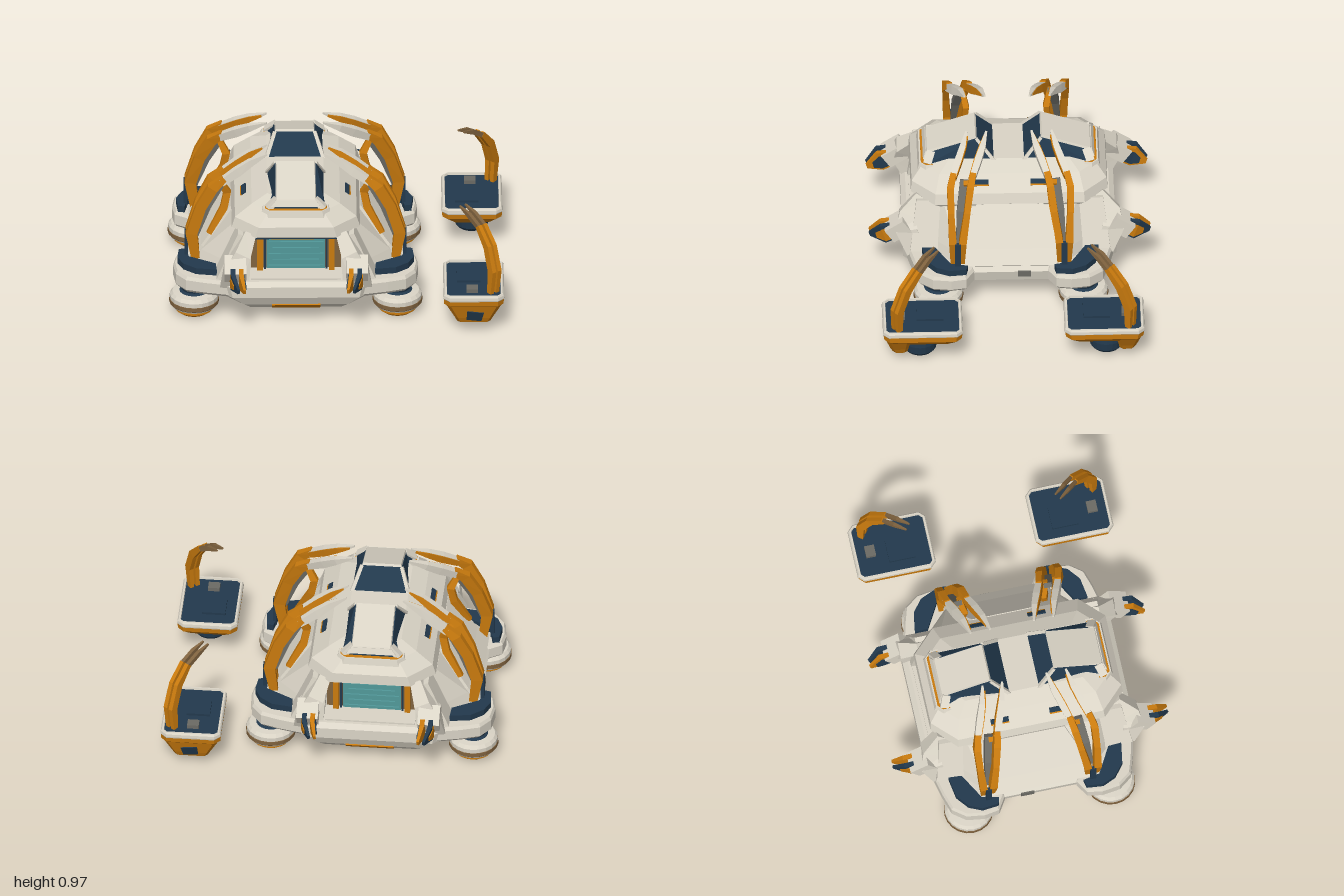
import * as THREE from 'three';

const paint = (name, color) => Object.assign(new THREE.MeshStandardMaterial({ color, flatShading: true }), { name });

// Skin a stack of equal-length loops, each counter-clockwise about the stacking direction
function loft(loops, capTop = true, capBottom = true) {
  const pos = [], tri = (...p) => p.forEach(q => pos.push(...q)), n = loops[0].length;
  for (let k = 0; k < loops.length - 1; k++)
    for (let i = 0; i < n; i++) {
      const j = (i + 1) % n, [l, u] = [loops[k], loops[k + 1]];
      tri(l[i], l[j], u[j]);
      tri(l[i], u[j], u[i]);
    }
  const top = loops[loops.length - 1], low = loops[0];
  for (let i = 1; i < n - 1; i++) {
    if (capTop) tri(top[0], top[i], top[i + 1]);
    if (capBottom) tri(low[0], low[i + 1], low[i]);
  }
  const g = new THREE.BufferGeometry();
  g.setAttribute('position', new THREE.Float32BufferAttribute(pos, 3));
  g.computeVertexNormals();
  return g;
}

// Chamfered rectangle lying flat
const oct = (y, hx, hz, c, cx = 0, cz = 0) => [
  [hx, hz - c], [hx, c - hz], [hx - c, -hz], [c - hx, -hz],
  [-hx, c - hz], [-hx, hz - c], [c - hx, hz], [hx - c, hz]].map(([x, z]) => [x + cx, y, z + cz]);

// Tapered bar through [x, y, z, width, depth] points
function bar(points, sideDir = [0, 0, 1]) {
  const P = points.map(p => new THREE.Vector3(p[0], p[1], p[2]));
  return loft(points.map((p, i) => {
    const d = P[Math.min(i + 1, P.length - 1)].clone().sub(P[Math.max(i - 1, 0)]).normalize();
    const s = new THREE.Vector3(...sideDir).addScaledVector(d, -d.dot(new THREE.Vector3(...sideDir))).normalize();
    const n = d.clone().cross(s);
    return [[1, 1], [-1, 1], [-1, -1], [1, -1]].map(([a, b]) =>
      P[i].clone().addScaledVector(s, a * p[3] / 2).addScaledVector(n, b * p[4] / 2).toArray());
  }));
}

const box = (w, h, d, x, y, z, rx = 0, rz = 0) =>
  new THREE.BoxGeometry(w, h, d).rotateX(rx).rotateZ(rz).translate(x, y, z);
const lathe = (pts, x, z) =>
  new THREE.LatheGeometry(pts.map(p => new THREE.Vector2(...p)), 20).translate(x, 0, z);

// Mirror a geometry across x and/or z, keeping its faces outward
function mirror(geo, sx, sz) {
  const g = geo.index ? geo.toNonIndexed() : geo.clone();
  g.scale(sx, 1, sz);
  if (sx * sz < 0) {
    const a = g.attributes.position, v = new THREE.Vector3(), w = new THREE.Vector3();
    for (let i = 0; i < a.count; i += 3) {
      v.fromBufferAttribute(a, i + 1);
      w.fromBufferAttribute(a, i + 2);
      a.setXYZ(i + 1, w.x, w.y, w.z);
      a.setXYZ(i + 2, v.x, v.y, v.z);
    }
  }
  g.computeVertexNormals();
  return g;
}

export function createModel() {
  const cream = paint('cream', 0xdad4c6), navy = paint('navy', 0x22394d), orange = paint('orange', 0xca7b0e);
  const teal = paint('teal', 0x52999a), brown = paint('brown', 0x80633f), grey = paint('grey', 0x6b6a64);
  const root = new THREE.Group();
  root.name = 'modularBase';
  const base = new THREE.Group();
  base.name = 'mainModule';
  base.position.x = -0.245;
  root.add(base);
  const add = (parent, name, geo, mat, sx = 1, sz = 1) => {
    const m = new THREE.Mesh(mirror(geo, sx, sz), mat);
    m.name = name;
    parent.add(m);
  };
  const ends = [1, -1];

  // Hull, sloped middle and roof
  add(base, 'hull', loft([oct(0.09, 0.39, 0.57, 0.12), oct(0.13, 0.44, 0.61, 0.13), oct(0.19, 0.63, 0.64, 0.25),
    oct(0.26, 0.645, 0.64, 0.25), oct(0.285, 0.62, 0.61, 0.25)]), cream);
  add(base, 'middleBody', loft([oct(0.27, 0.63, 0.44, 0.15), oct(0.35, 0.565, 0.44, 0.12), oct(0.56, 0.385, 0.44, 0.05)]), cream);
  add(base, 'shadowGap', loft([oct(0.535, 0.33, 0.51, 0.1), oct(0.56, 0.36, 0.53, 0.1)]), brown);
  add(base, 'roof', loft([oct(0.55, 0.37, 0.55, 0.14), oct(0.575, 0.385, 0.59, 0.14), oct(0.64, 0.365, 0.585, 0.14),
    oct(0.715, 0.265, 0.52, 0.1), oct(0.755, 0.17, 0.44, 0.08)]), cream);

  // Side panels, vents and slits
  const lean = 0.71;
  for (const s of ends) {
    add(base, 'sidePanel', bar([[0.625, 0.29, 0, 0.66, 0.03], [0.555, 0.365, 0, 0.62, 0.03], [0.38, 0.57, 0, 0.4, 0.03]]), cream, s);
    add(base, 'sideVent', box(0.008, 0.03, 0.2, 0.437, 0.52, 0, 0, lean), brown, s);
    add(base, 'sideHatch', box(0.008, 0.04, 0.08, 0.645, 0.245, -0.08), grey, s);
    for (const t of ends) {
      add(base, 'roofSlit', box(0.008, 0.03, 0.11, 0.311, 0.685, 0.18, 0, 0.93), navy, s, t);
      add(base, 'roofSlitTrim', box(0.008, 0.009, 0.11, 0.326, 0.673, 0.18, 0, 0.93), orange, s, t);
    }
  }

  // Front and rear: cupola, doorway and lower bumper
  for (const t of ends) {
    const end = new THREE.Group();
    end.name = t > 0 ? 'frontEnd' : 'rearEnd';
    base.add(end);
    const quad = (a, yF, yB, zF, zB) => [[a, yF, zF], [a, yB, zB], [-a, yB, zB], [-a, yF, zF]];
    add(end, 'cupolaCollar', loft([oct(0.67, 0.22, 0.25, 0.05, 0, 0.3), oct(0.725, 0.197, 0.237, 0.04, 0, 0.3)]), cream, 1, t);
    add(end, 'cupolaTrim', loft([oct(0.72, 0.187, 0.229, 0.03, 0, 0.3), oct(0.727, 0.185, 0.227, 0.03, 0, 0.3)]), orange, 1, t);
    add(end, 'cupolaWindows', loft([quad(0.18, 0.71, 0.73, 0.515, 0.07), quad(0.124, 0.77, 0.872, 0.485, 0.19)]), navy, 1, t);
    add(end, 'cupolaRoof', loft([quad(0.122, 0.762, 0.864, 0.502, 0.185), quad(0.115, 0.782, 0.884, 0.49, 0.2)]), cream, 1, t);
    add(end, 'cupolaVisor', bar([[0, 0.74, 0.508, 0.3, 0.016], [0, 0.775, 0.492, 0.24, 0.016]], [1, 0, 0]), cream, 1, t);
    // Corner posts frame the windows
    for (const s of ends) {
      add(end, 'cupolaFrontPost', bar([[0.168, 0.72, 0.49, 0.05, 0.04], [0.114, 0.775, 0.465, 0.05, 0.03]]), cream, s, t);
      add(end, 'cupolaRearPost', bar([[0.175, 0.738, 0.086, 0.02, 0.022], [0.12, 0.87, 0.195, 0.018, 0.02]]), cream, s, t);
    }

    add(end, 'doorFrame', box(0.54, 0.27, 0.02, 0, 0.4, 0.44), brown, 1, t);
    add(end, 'doorPanel', box(0.35, 0.22, 0.02, 0, 0.385, 0.45), teal, 1, t);
    for (let i = 0; i < 5; i++)
      add(end, 'doorSlat', box(0.33 - (i % 2) * 0.05, 0.018, 0.014, 0, 0.31 + i * 0.04, 0.463), teal, 1, t);
    add(end, 'doorLintel', box(0.54, 0.03, 0.06, 0, 0.53, 0.47), navy, 1, t);
    add(end, 'doorHeader', box(0.3, 0.014, 0.03, 0, 0.504, 0.455), orange, 1, t);
    add(end, 'threshold', box(0.54, 0.03, 0.16, 0, 0.28, 0.51), cream, 1, t);
    add(end, 'bumperPlate', box(0.29, 0.05, 0.008, 0, 0.113, 0.597, 0.785), orange, 1, t);

    for (const s of ends) {
      add(end, 'doorPost', box(0.035, 0.24, 0.05, 0.215, 0.4, 0.46), orange, s, t);
      add(end, 'doorGroove', box(0.012, 0.24, 0.03, 0.185, 0.4, 0.455), navy, s, t);
      add(end, 'doorCheek', bar([[0.38, 0.27, 0.48, 0.24, 0.2], [0.305, 0.57, 0.47, 0.18, 0.09]]), cream, s, t);
      // Gripper standing beside the doorway
      add(end, 'gripperMount', bar([[0.385, 0.26, 0.57, 0.1, 0.14], [0.37, 0.4, 0.62, 0.13, 0.12],
        [0.33, 0.47, 0.61, 0.11, 0.1], [0.28, 0.57, 0.53, 0.07, 0.07]]), cream, s, t);
      add(end, 'gripperHead', box(0.13, 0.1, 0.13, 0.365, 0.41, 0.67, 0.6), cream, s, t);
      for (const [x, tx, o] of [[0.33, 0.31, -1], [0.38, 0.345, 1]]) {
        add(end, 'gripperClaw', bar([[x, 0.39, 0.68, 0.028, 0.1], [x, 0.365, 0.76, 0.028, 0.13],
          [tx, 0.34, 0.84, 0.015, 0.03]], [1, 0, 0]), o > 0 ? navy : orange, s, t);
        add(end, 'clawPlate', bar([[x + o * 0.013, 0.385, 0.69, 0.012, 0.07], [x + o * 0.013, 0.36, 0.755, 0.012, 0.09],
          [x + o * 0.009 - 0.015, 0.348, 0.8, 0.012, 0.035]], [1, 0, 0]), o > 0 ? orange : navy, s, t);
      }
    }
  }

  // Four corners: pod, landing foot and folding arm
  const podShape = [[0.735, 0.36], [0.72, 0.27], [0.64, 0.22], [0.4, 0.22], [0.4, 0.62], [0.55, 0.585], [0.66, 0.55], [0.72, 0.47]];
  const pod = (y, k) => podShape.map(([x, z]) => [0.57 + (x - 0.57) * k, y, 0.4 + (z - 0.4) * k]);
  const plate = y => [[0.71, 0.37], [0.7, 0.27], [0.66, 0.26], [0.64, 0.36], [0.48, 0.45], [0.475, 0.53], [0.6, 0.51], [0.675, 0.45]]
    .map(([x, z]) => [x, y, z]);
  for (const s of ends) for (const t of ends) {
    const c = new THREE.Group();
    c.name = (t > 0 ? 'front' : 'rear') + (s > 0 ? 'Left' : 'Right') + 'Corner';
    base.add(c);
    add(c, 'pod', loft([pod(0.18, 0.9), pod(0.2, 1), pod(0.265, 1), pod(0.285, 0.93)]), cream, s, t);
    add(c, 'podPlate', loft([plate(0.27), plate(0.325)]), navy, s, t);
    add(c, 'footSole', lathe([[0, 0], [0.09, 0], [0.115, 0.02], [0.115, 0.05]], 0.61, 0.435), orange, s, t);
    add(c, 'footPad', lathe([[0, 0.035], [0.11, 0.035], [0.135, 0.045], [0.146, 0.065], [0.146, 0.115],
      [0.13, 0.135], [0.08, 0.14]], 0.61, 0.435), cream, s, t);
    add(c, 'footBand', lathe([[0.135, 0.05], [0.149, 0.063], [0.149, 0.088], [0.14, 0.09]], 0.61, 0.435), brown, s, t);
    add(c, 'footNeck', lathe([[0.1, 0.13], [0.075, 0.15], [0.09, 0.2]], 0.61, 0.435), navy, s, t);

    add(c, 'armRod', box(0.022, 0.19, 0.035, 0.655, 0.39, 0.32), navy, s, t);
    add(c, 'armPiston', bar([[0.6, 0.45, 0.315, 0.03, 0.035], [0.53, 0.64, 0.3, 0.045, 0.045],
      [0.43, 0.8, 0.275, 0.05, 0.03]]), grey, s, t);
    for (const o of ends) {
      const z = o * 0.06;
      add(c, 'armLower', bar([[0.6, 0.31, 0.32 + z * 0.45, 0.03, 0.05], [0.625, 0.48, 0.32 + z * 0.5, 0.045, 0.07],
        [0.57, 0.66, 0.31 + z * 0.8, 0.038, 0.065], [0.5, 0.79, 0.3 + z, 0.042, 0.065], [0.43, 0.845, 0.28 + z, 0.035, 0.04]]), orange, s, t);
      add(c, 'armTip', bar([[0.45, 0.82, 0.287 + z, 0.036, 0.045], [0.35, 0.875, 0.25 + z, 0.042, 0.055],
        [0.27, 0.92, 0.22 + z, 0.036, 0.042], [0.17, 0.962, 0.195 + z, 0.012, 0.01]]), cream, s, t);
      // Coloured inner face of the tip
      add(c, 'armTipLining', bar([[0.45, 0.82, 0.287 + z * 0.72, 0.012, 0.04], [0.35, 0.875, 0.25 + z * 0.66, 0.012, 0.05],
        [0.27, 0.92, 0.22 + z * 0.7, 0.012, 0.036], [0.2, 0.947, 0.2 + z * 0.85, 0.012, 0.012]]), orange, s, t);
    }
    add(c, 'armBrace', bar([[0.46, 0.8, 0.265, 0.03, 0.03], [0.41, 0.7, 0.24, 0.035, 0.045],
      [0.43, 0.6, 0.25, 0.035, 0.045], [0.52, 0.44, 0.28, 0.03, 0.03]]), orange, s, t);
  }

  // Two separate tray pods with small arms
  for (const t of ends) {
    const tray = new THREE.Group();
    tray.name = t > 0 ? 'frontTray' : 'rearTray';
    root.add(tray);
    const ring = (y, hx, hz, c, cz = 0.545) => oct(y, hx, hz, c, 0.82, cz);
    add(tray, 'trayShell', loft([ring(0.15, 0.13, 0.18, 0.03), ring(0.2, 0.178, 0.232, 0.035), ring(0.24, 0.18, 0.238, 0.035)]), orange, 1, t);
    add(tray, 'trayKeel', loft([ring(0.065, 0.1, 0.045, 0.02, 0.68), ring(0.1, 0.115, 0.055, 0.02, 0.685),
      ring(0.2, 0.17, 0.08, 0.03, 0.69)]), orange, 1, t);
    add(tray, 'keelPatch', bar([[0.82, 0.085, 0.736, 0.09, 0.008], [0.83, 0.15, 0.757, 0.1, 0.008]], [1, 0, 0]), navy, 1, t);
    add(tray, 'trayRim', loft([ring(0.232, 0.178, 0.238, 0.035), ring(0.24, 0.182, 0.24, 0.035), ring(0.258, 0.18, 0.238, 0.035),
      ring(0.268, 0.173, 0.231, 0.03), ring(0.268, 0.162, 0.22, 0.02), ring(0.24, 0.157, 0.215, 0.02)], false, false), cream, 1, t);
    add(tray, 'trayBed', loft([ring(0.22, 0.162, 0.22, 0.02), ring(0.256, 0.162, 0.22, 0.02)]), navy, 1, t);
    add(tray, 'trayCargo', box(0.14, 0.02, 0.16, 0.79, 0.26, 0.5), navy, 1, t);
    add(tray, 'trayBowl', lathe([[0.085, 0.03], [0.1, 0.05], [0.105, 0.1], [0.095, 0.18]], 0.82, 0.56), navy, 1, t);
    add(tray, 'bowlCap', lathe([[0, 0.018], [0.06, 0.018], [0.087, 0.03]], 0.82, 0.56), grey, 1, t);
    add(tray, 'trayArmFoot', box(0.07, 0.03, 0.06, 0.81, 0.265, 0.68), grey, 1, t);
    const across = [0.8, 0, -0.6];
    for (const o of [0.02, -0.02]) {
      const [dx, dz] = [o * 0.8, -o * 0.6];
      add(tray, 'trayArm', bar([[0.935 + dx, 0.25, 0.7 + dz, 0.025, 0.035], [0.945 + dx, 0.4, 0.7 + dz, 0.028, 0.05],
        [0.918 + dx, 0.54, 0.65 + dz, 0.026, 0.05], [0.865 + dx, 0.645, 0.575 + dz, 0.024, 0.035]], across), orange, 1, t);
      add(tray, 'trayArmTip', bar([[0.87 + dx, 0.635, 0.58 + dz, 0.022, 0.032], [0.81 + dx, 0.69, 0.52 + dz, 0.022, 0.03],
        [0.755 + dx, 0.72, 0.46 + dz, 0.01, 0.01]], across), brown, 1, t);
    }
  }
  return root;
}
